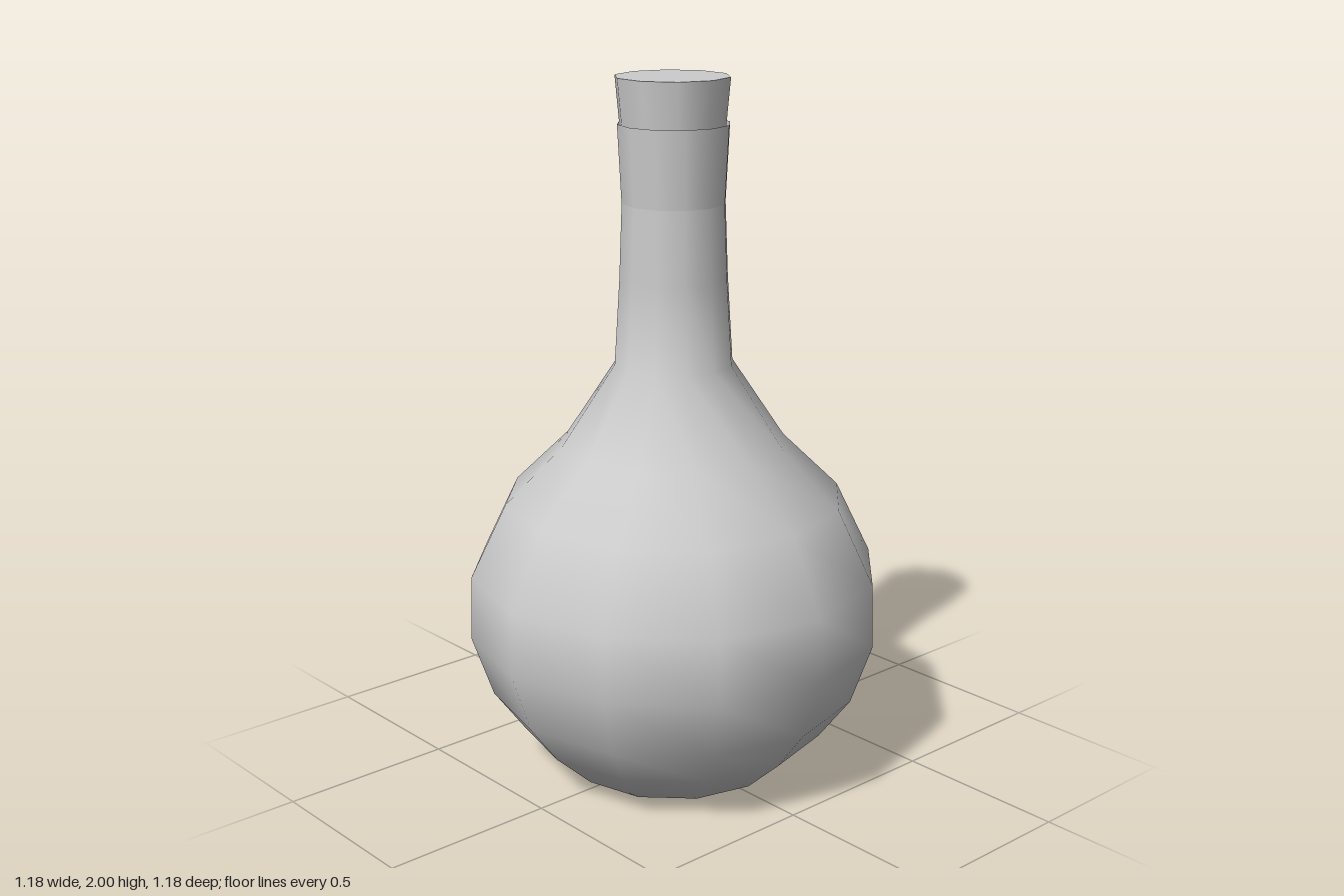
import * as THREE from 'three';

const SIDES = 12;

// Revolve a list of [radius, height] pairs, given from bottom to top
function turned(name, profile, material) {
  const points = profile.map(([r, y]) => new THREE.Vector2(r, y));
  const mesh = new THREE.Mesh(new THREE.LatheGeometry(points, SIDES), material);
  mesh.name = name;
  return mesh;
}

export function createModel() {
  const group = new THREE.Group();
  group.name = 'corkedFlask';
  const glass = new THREE.MeshStandardMaterial({ color: 0xcccccc, side: THREE.DoubleSide });
  const corkMaterial = new THREE.MeshStandardMaterial({ color: 0xcccccc });

  // Round belly, shoulder and lower neck
  group.add(turned('body', [
    [0, 0], [0.32, 0.02], [0.44, 0.13], [0.53, 0.25], [0.59, 0.425],
    [0.585, 0.61], [0.483, 0.82], [0.32, 0.98], [0.168, 1.21],
    [0.153, 1.45], [0.145, 1.66],
  ], glass));

  // Flared mouth of the neck, open at the top
  group.add(turned('mouth', [[0.145, 1.66], [0.156, 1.875]], glass));

  // Tapered ten-sided cork, sitting slightly off centre
  const cork = new THREE.Mesh(
    new THREE.CylinderGeometry(0.16, 0.134, 0.28, 10, 1, false, Math.PI / 2), corkMaterial);
  cork.name = 'cork';
  cork.position.set(-0.006, 1.86, 0);
  group.add(cork);

  return group;
}
